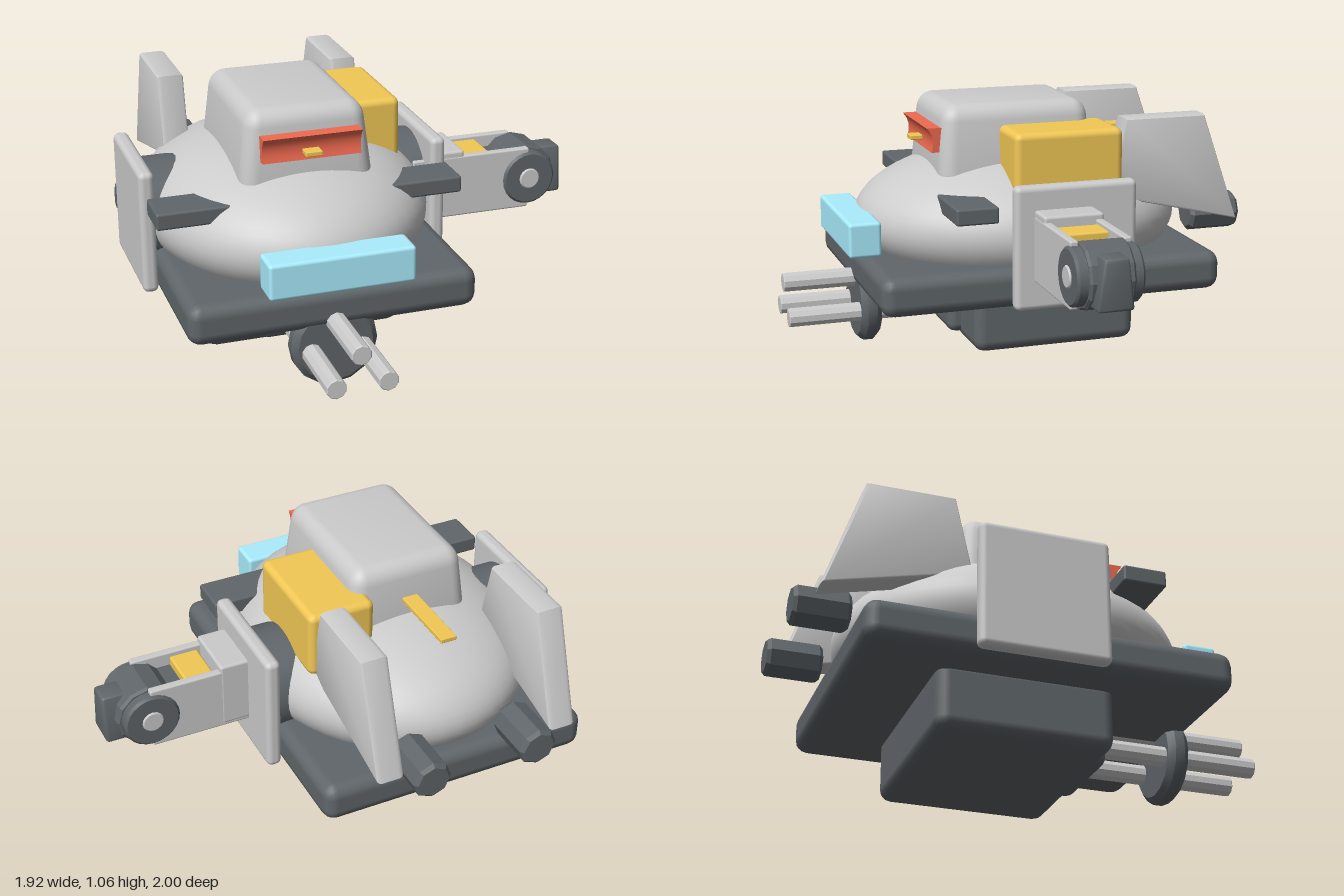
import * as THREE from 'three';
import { RoundedBoxGeometry } from 'three/addons/geometries/RoundedBoxGeometry.js';
import { toCreasedNormals } from 'three/addons/utils/BufferGeometryUtils.js';

const mat = (color) => new THREE.MeshStandardMaterial({ color });

export function createModel() {
  const model = new THREE.Group();
  const grey = mat(0xcccccc), dark = mat(0x60666a), yellow = mat(0xf2c855);
  const cyan = mat(0xaaeeff), red = mat(0xf06a50);
  const CX = -0.31; // centre line of the hull

  const add = (name, geometry, material, x = 0, y = 0, z = 0, parent = model) => {
    const mesh = new THREE.Mesh(geometry, material);
    mesh.name = name;
    mesh.position.set(x, y, z);
    parent.add(mesh);
    return mesh;
  };
  // Rounded box given by its limits on each axis
  const box = (name, material, [x0, x1], [y0, y1], [z0, z1], r = 0.02, parent = model) =>
    add(name, new RoundedBoxGeometry(x1 - x0, y1 - y0, z1 - z0, 2, r), material,
      (x0 + x1) / 2, (y0 + y1) / 2, (z0 + z1) / 2, parent);
  // Cylinder with bevelled rims, lying along x or z from a to b
  const rod = (axis, r, a, b, sides, bevel = 0.005) => {
    const h = (b - a) / 2;
    const pts = [[0, -h], [r - bevel, -h], [r, -h + bevel], [r, h - bevel], [r - bevel, h], [0, h]]
      .map(([u, v]) => new THREE.Vector2(u, v));
    const g = toCreasedNormals(new THREE.LatheGeometry(pts, sides), sides > 12 ? 0.6 : 0.3);
    if (axis === 'z') g.rotateX(Math.PI / 2).translate(0, 0, (a + b) / 2);
    else g.rotateZ(-Math.PI / 2).translate((a + b) / 2, 0, 0);
    return g;
  };

  // Hull
  box('basePlate', dark, [-0.9, 0.29], [0.26, 0.43], [-0.79, 0.7], 0.055);
  box('underBody', dark, [-0.73, 0.12], [0.02, 0.3], [-0.46, 0.26], 0.05);
  const dome = new THREE.SphereGeometry(1, 48, 32);
  dome.scale(0.6, 0.31, 0.72);
  add('dome', dome, grey, CX, 0.54, -0.05);
  add('sideHub', rod('x', 0.22, -0.91, 0.3, 32), dark, 0, 0.53, -0.11);
  box('sideWings', dark, [-0.945, 0.33], [0.64, 0.71], [0.22, 0.4], 0.01);
  for (const x of [-0.96, 0.29])
    box('sideShield', grey, [x, x + 0.065], [0.265, 0.79], [-0.37, 0.16], 0.025);
  box('lightBar', cyan, [-0.6, -0.005], [0.45, 0.6], [0.63, 0.77], 0.015);

  // Turret narrows towards its roof
  const turret = new RoundedBoxGeometry(0.56, 0.36, 0.69, 4, 0.07);
  const p = turret.attributes.position;
  for (let i = 0; i < p.count; i++) {
    const t = (p.getY(i) + 0.18) / 0.36;
    p.setX(i, p.getX(i) * (1.02 - 0.15 * t));
    p.setZ(i, p.getZ(i) * (1.02 - 0.09 * t));
  }
  turret.computeVertexNormals();
  add('turret', toCreasedNormals(turret, 0.7), grey, CX, 0.88, 0.015);

  // Visor with a hollow front
  const visorShape = new THREE.Shape();
  visorShape.moveTo(0.31, 0.86);
  visorShape.lineTo(0.385, 0.86);
  visorShape.quadraticCurveTo(0.365, 0.925, 0.405, 0.965);
  visorShape.lineTo(0.31, 0.965);
  const visor = new THREE.ExtrudeGeometry(visorShape, { depth: 0.41, bevelEnabled: false, curveSegments: 8 });
  visor.rotateY(-Math.PI / 2);
  add('visor', toCreasedNormals(visor, 0.5), red, -0.1, 0, 0);
  box('sensorBar', yellow, [-0.345, -0.275], [0.885, 0.905], [-0.645, 0.43], 0.004);
  box('cargoBox', yellow, [-0.12, 0.17], [0.68, 0.97], [-0.38, 0.1], 0.03);

  // Tail fins: profile in (z, y)
  const finPts = [[-0.41, 0.99], [-0.755, 0.99], [-0.915, 0.54], [-0.34, 0.68]];
  const finShape = new THREE.Shape(finPts.map(([z, y]) => new THREE.Vector2(z, y)));
  for (const x of [-0.75, 0.025]) {
    const fin = new THREE.ExtrudeGeometry(finShape, {
      depth: 0.075, bevelThickness: 0.02, bevelSize: 0.012, bevelSegments: 3,
    });
    fin.rotateY(-Math.PI / 2);
    add('tailFin', toCreasedNormals(fin, 0.6), grey, x + 0.095, 0, 0);
  }
  for (const x of [-0.542, -0.067])
    add('thruster', rod('z', 0.083, -1, -0.77, 8, 0.015), dark, x, 0.525, 0);

  // Triple gun below the nose
  const gun = new THREE.Group();
  gun.name = 'gun';
  model.add(gun);
  box('gunMount', dark, [-0.51, -0.11], [0.05, 0.29], [0.1, 0.315], 0.04, gun);
  add('gunDisc', rod('z', 0.18, 0.6, 0.69, 16, 0.025), dark, CX, 0.185, 0, gun);
  for (const [x, y] of [[CX, 0.29], [-0.41, 0.163], [-0.2, 0.163]])
    add('barrel', rod('z', 0.042, 0.2, 1, 10, 0.004), grey, x, y, 0, gun);

  // Arm on the left side
  const arm = new THREE.Group();
  arm.name = 'arm';
  model.add(arm);
  for (const z of [-0.175, 0.045])
    box('armPlate', grey, [0.24, 0.78], [0.39, 0.665], [z, z + 0.035], 0.008, arm);
  box('armRoot', grey, [0.3, 0.475], [0.4, 0.69], [-0.177, 0.078], 0.012, arm);
  box('armCore', dark, [0.4, 0.76], [0.41, 0.61], [-0.145, 0.045], 0.01, arm);
  box('armBand', yellow, [0.49, 0.615], [0.45, 0.65], [-0.148, 0.043], 0.01, arm);
  add('armRod', rod('x', 0.028, 0.3, 0.55, 10), grey, 0, 0.385, -0.045, arm);
  add('armDrum', rod('z', 0.138, -0.145, 0.045, 12, 0.01), dark, 0.78, 0.527, 0, arm);
  add('armDisc', rod('z', 0.12, -0.188, 0.09, 24, 0.01), dark, 0.78, 0.527, 0, arm);
  add('armPin', rod('z', 0.046, -0.195, 0.098, 16), grey, 0.78, 0.527, 0, arm);
  // Claw block, narrower at the top
  const claw = new RoundedBoxGeometry(0.12, 0.21, 0.15, 2, 0.015);
  const c = claw.attributes.position;
  for (let i = 0; i < c.count; i++) c.setZ(i, c.getZ(i) * (0.85 - 1.6 * c.getY(i)));
  claw.computeVertexNormals();
  add('claw', toCreasedNormals(claw, 0.6), dark, 0.9, 0.527, -0.045, arm);

  return model;
}
